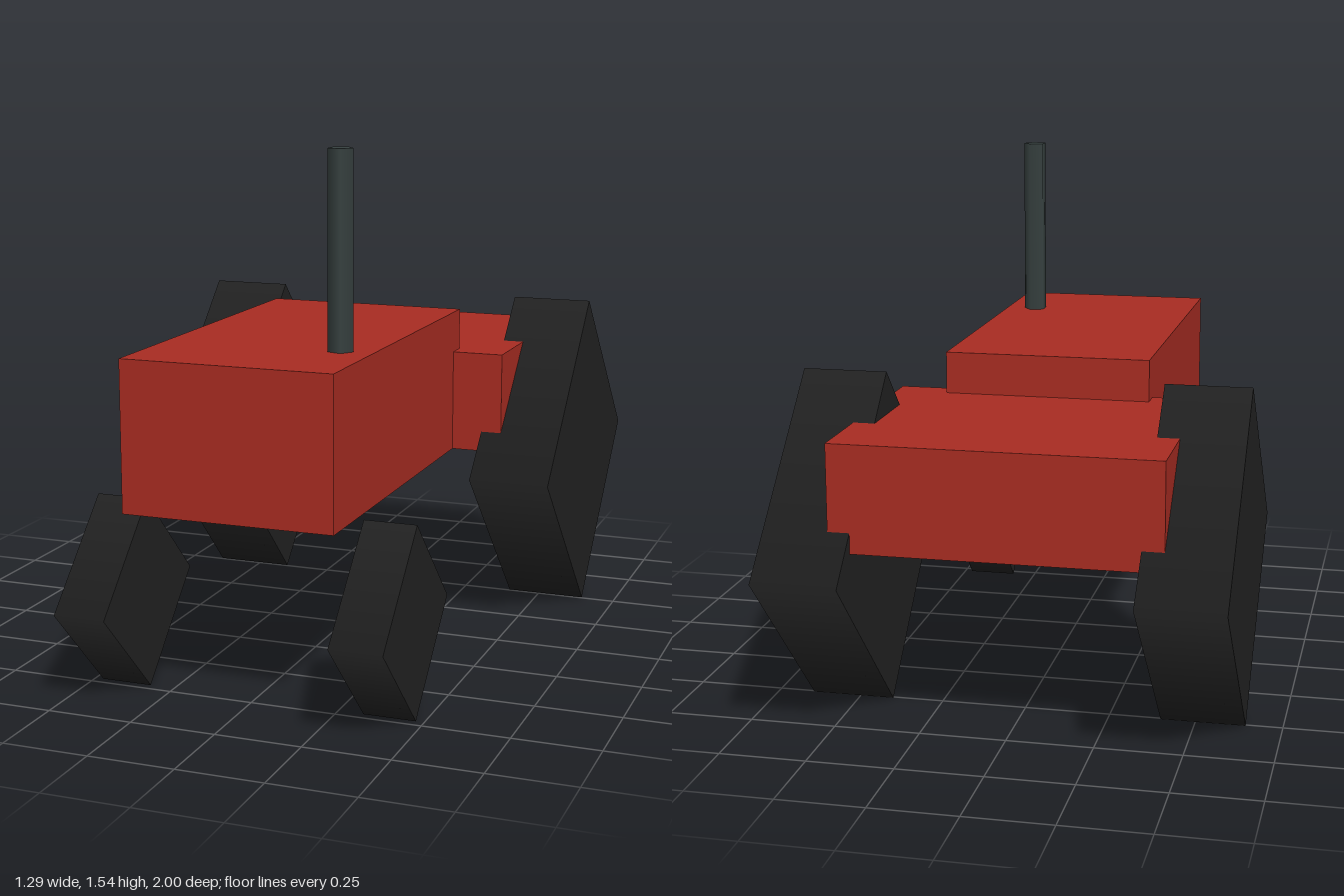
import * as THREE from 'three';

export function createModel() {
  const mat = (name, color) => {
    const m = new THREE.MeshStandardMaterial({ color });
    m.name = name;
    return m;
  };
  const red = mat('red paint', 0xa82c22);
  const rubber = mat('black rubber', 0x222222);
  const steel = mat('dark steel', 0x374140);

  const model = new THREE.Group();
  model.name = 'tractor';
  const add = (name, geometry, material, x, y, z) => {
    const mesh = new THREE.Mesh(geometry, material);
    mesh.name = name;
    mesh.position.set(x, y, z);
    model.add(mesh);
  };

  // Hood and the wider rear body, sharing one underside
  add('hood', new THREE.BoxGeometry(0.614, 0.43, 1.11), red, 0, 0.772, 0.353);
  add('rearBody', new THREE.BoxGeometry(0.924, 0.306, 0.738), red, 0, 0.71, -0.508);

  // Four-sided wheels, each standing on a corner, mirrored left and right
  const wheel = (radius, width) =>
    new THREE.CylinderGeometry(radius, radius, width, 4).rotateZ(Math.PI / 2);
  const rearWheel = wheel(0.493, 0.245);
  const frontWheel = wheel(0.277, 0.152);
  for (const [side, s] of [['left', 1], ['right', -1]]) {
    add(side + 'RearWheel', rearWheel, rubber, s * 0.522, 0.493, -0.507);
    add(side + 'FrontWheel', frontWheel, rubber, s * 0.4, 0.277, 0.723);
  }

  // Five-sided exhaust pipe with a corner towards the left
  const pipe = new THREE.CylinderGeometry(0.037, 0.037, 0.58, 5, 1, false, Math.PI / 2);
  add('exhaustPipe', pipe, steel, 0.212, 1.25, 0.6);

  return model;
}
